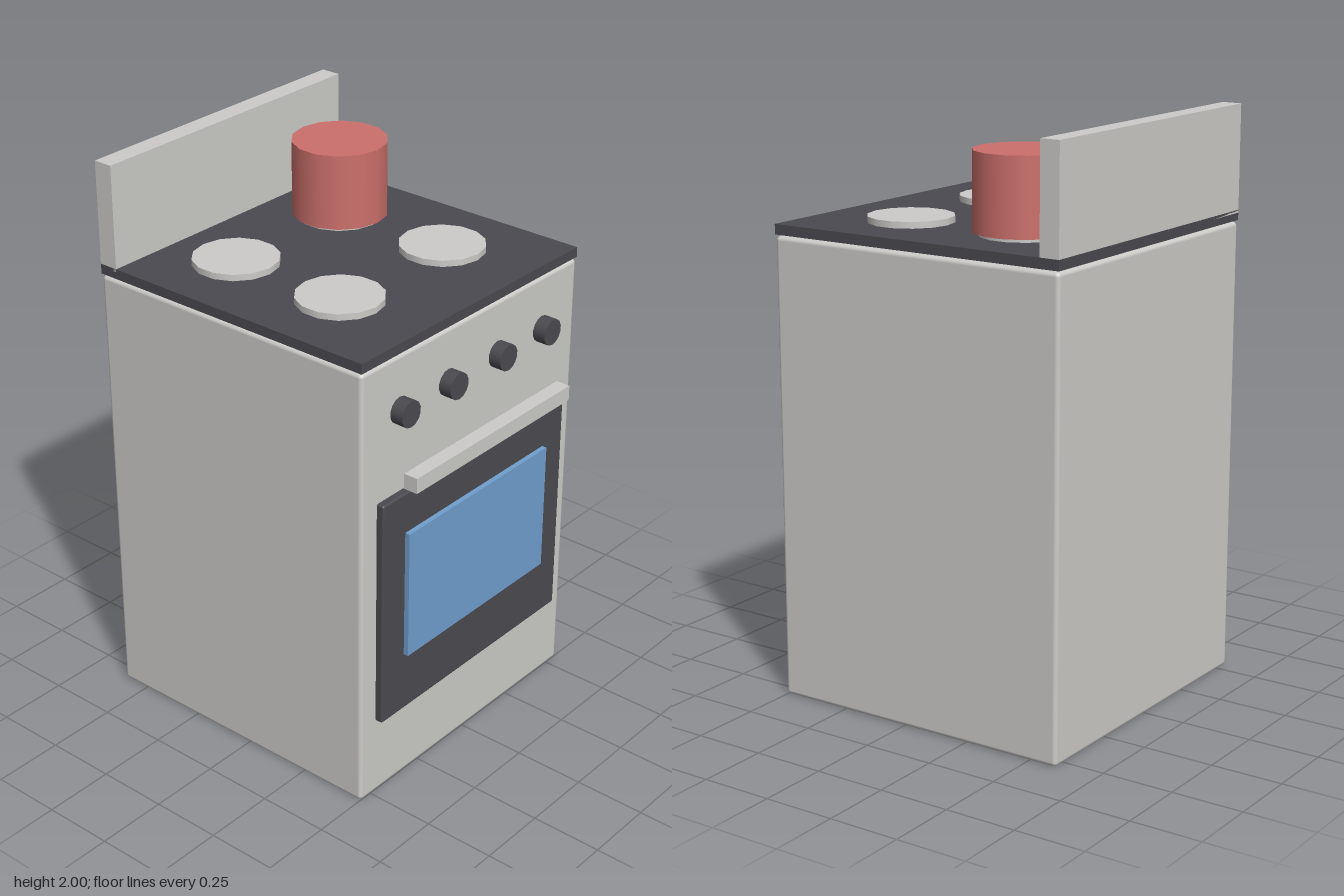
import * as THREE from 'three';
import { RoundedBoxGeometry } from 'three/addons/geometries/RoundedBoxGeometry.js';

const mat = (name, color) => {
  const m = new THREE.MeshStandardMaterial({ color });
  m.name = name;
  return m;
};

export function createModel() {
  const enamel = mat('light grey enamel', 0xcdccc9);
  const dark = mat('dark grey', 0x4b4a50);
  const glass = mat('blue glass', 0x729fcf);
  const red = mat('red pot', 0xcc706b);

  const model = new THREE.Group();
  model.name = 'cooker';

  const add = (name, geometry, material) => {
    const mesh = new THREE.Mesh(geometry, material);
    mesh.name = name;
    model.add(mesh);
    return mesh;
  };

  // Box given by its limits on each axis; a radius rounds its edges
  const box = (name, [x0, x1], [y0, y1], [z0, z1], material, radius = 0) => {
    const size = [x1 - x0, y1 - y0, z1 - z0];
    const geometry = radius
      ? new RoundedBoxGeometry(...size, 2, radius)
      : new THREE.BoxGeometry(...size);
    add(name, geometry, material)
      .position.set((x0 + x1) / 2, (y0 + y1) / 2, (z0 + z1) / 2);
  };

  // Upright fourteen-sided disc standing at height y0
  const disc = (name, r, x, z, y0, y1, material) =>
    add(name, new THREE.CylinderGeometry(r, r, y1 - y0, 14), material)
      .position.set(x, (y0 + y1) / 2, z);

  // Cabinet, hob and splashback
  box('body', [-0.555, 0.555], [0, 1.6], [-0.605, 0.505], enamel, 0.015);
  box('cooktop', [-0.555, 0.555], [1.605, 1.64], [-0.605, 0.505], dark);
  box('splashback', [-0.555, 0.555], [1.63, 2], [-0.605, -0.535], enamel);

  // Oven door, window and handle
  box('ovenDoor', [-0.48, 0.48], [0.29, 1.12], [0.48, 0.532], dark, 0.008);
  box('ovenWindow', [-0.37, 0.367], [0.51, 0.975], [0.52, 0.55], glass);
  box('doorHandle', [-0.406, 0.404], [1.162, 1.216], [0.553, 0.605], enamel);

  // Four hotplates, with a pot on the rear left one
  for (const x of [-0.262, 0.258]) {
    for (const z of [-0.276, 0.17]) disc('hotplate', 0.147, x, z, 1.635, 1.662, enamel);
  }
  disc('pot', 0.165, 0.258, -0.275, 1.652, 1.915, red);

  // Control knobs
  for (const x of [-0.372, -0.131, 0.127, 0.368]) {
    const geometry = new THREE.CylinderGeometry(0.046, 0.046, 0.06, 14).rotateX(Math.PI / 2);
    add('knob', geometry, dark).position.set(x, 1.411, 0.522);
  }

  return model;
}
